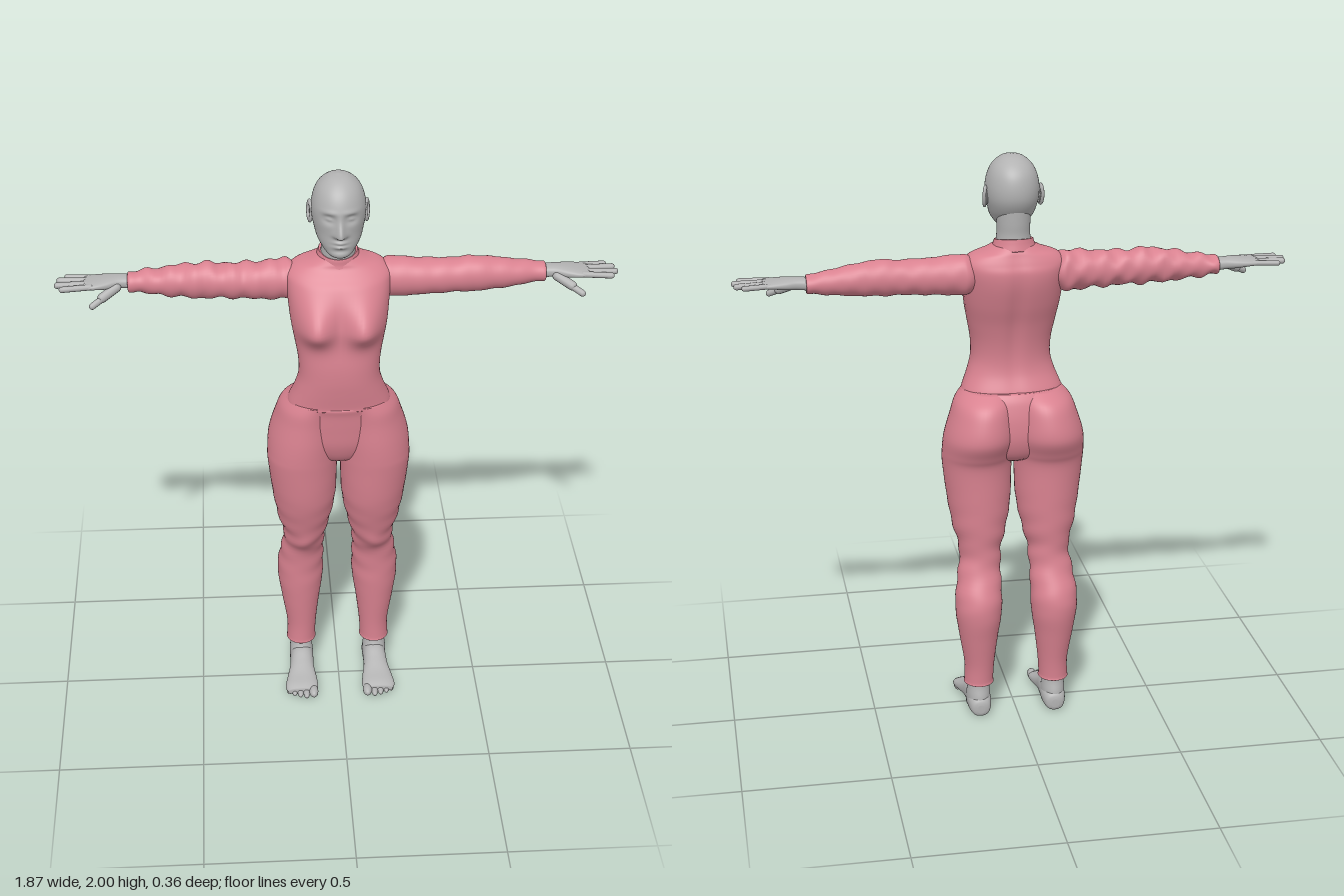
import * as THREE from 'three';

const fabric = new THREE.MeshStandardMaterial({ color: 0xd98290 });
fabric.name = 'rose fabric';
const skin = new THREE.MeshStandardMaterial({ color: 0xb2b2b2 });
skin.name = 'grey skin';

// Bell curve used for soft bumps and dents
const bell = (d, w) => Math.exp(-(d * d) / (w * w));

// Mapping from (along, across, depth) to x, y, z
const upright = (t, a, b) => [a, t, b];
const sideways = (t, a, b) => [t, b, a];
const forwards = (t, a, b) => [a, b, t];

function spline(rows, u) {
  const n = rows.length - 1, i = Math.min(Math.floor(u), n - 1), f = u - i;
  const at = k => rows[Math.max(0, Math.min(n, k))];
  return rows[i].map((_, c) => {
    const [p, q, r, s] = [at(i - 1)[c], at(i)[c], at(i + 1)[c], at(i + 2)[c]];
    return q + 0.5 * f * (r - p + f * (2 * p - 5 * q + 4 * r - s + f * (3 * (q - r) + s - p)));
  });
}

// Smooth closed skin through sections [along, centre, half width, depth high, depth low]
function loft(sections, { map = upright, side = 1, seg = 40, steps = 5, power = 2, bend } = {}) {
  const pos = [], index = [], rings = (sections.length - 1) * steps + 1;
  const add = (t, a, b) => {
    const p = new THREE.Vector3(...map(t, a, b));
    if (bend) bend(p);
    pos.push(p.x * side, p.y, p.z);
  };
  const round = v => Math.sign(v) * Math.abs(v) ** (2 / power);
  const ends = [];
  for (let i = 0; i < rings; i++) {
    const [t, c, r, hi, lo] = spline(sections, i / steps);
    if (i === 0 || i === rings - 1) ends.push([t, c, (hi + lo) / 2]);
    for (let j = 0; j < seg; j++) {
      const a = j / seg * Math.PI * 2;
      add(t, c + r * round(Math.cos(a)), (hi + lo) / 2 + (hi - lo) / 2 * round(Math.sin(a)));
    }
  }
  ends.forEach(e => add(...e));
  for (let j = 0; j < seg; j++) {
    const k = (j + 1) % seg, last = (rings - 1) * seg;
    for (let i = 0; i < rings - 1; i++) {
      const a = i * seg + j, b = i * seg + k;
      index.push(a, b, a + seg, b, b + seg, a + seg);
    }
    index.push(rings * seg, k, j, rings * seg + 1, last + j, last + k);
  }
  // Turn the faces outwards if the enclosed volume is negative
  const v = i => new THREE.Vector3().fromArray(pos, i * 3);
  let volume = 0;
  for (let i = 0; i < index.length; i += 3) volume += v(index[i]).dot(v(index[i + 1]).cross(v(index[i + 2])));
  if (volume < 0) index.reverse();
  const g = new THREE.BufferGeometry();
  g.setAttribute('position', new THREE.Float32BufferAttribute(pos, 3));
  g.setIndex(index);
  g.computeVertexNormals();
  return g;
}

function part(parent, name, geometry, material) {
  const m = new THREE.Mesh(geometry, material);
  m.name = name;
  parent.add(m);
  return m;
}

// Rounded rod between two points, for fingers
function rod(parent, name, from, to, radius) {
  const a = new THREE.Vector3(...from), b = new THREE.Vector3(...to), d = b.clone().sub(a);
  const m = part(parent, name, new THREE.CapsuleGeometry(radius, d.length() - radius, 6, 12), skin);
  m.position.copy(a).add(b).multiplyScalar(0.5);
  m.quaternion.setFromUnitVectors(new THREE.Vector3(0, 1, 0), d.normalize());
}

function shapeFace(p) {
  if (p.z < 0.03) return;
  const x = Math.abs(p.x), y = p.y;
  const ridge = y > 1.828 ? bell(y - 1.828, 0.04) : bell(y - 1.828, 0.009);
  p.z += 0.034 * ridge * bell(x, 0.011 + 0.006 * bell(y - 1.828, 0.02));   // nose
  p.z -= 0.014 * bell(x - 0.036, 0.02) * bell(y - 1.882, 0.015);           // eye sockets
  p.z += 0.009 * bell(x - 0.036, 0.012) * bell(y - 1.881, 0.007);          // eyeballs
  p.z += 0.004 * bell(x - 0.035, 0.025) * bell(y - 1.905, 0.008);          // brows
  p.z += 0.008 * bell(x, 0.02) * (bell(y - 1.802, 0.006) + bell(y - 1.787, 0.006)); // lips
  p.z -= 0.004 * bell(x, 0.03) * bell(y - 1.772, 0.008);                   // dip above chin
}

function buildHead(parent) {
  part(parent, 'head', loft([
    [2.0, 0, 0.004, 0.006, -0.002], [1.992, 0, 0.035, 0.046, -0.042], [1.97, 0, 0.063, 0.078, -0.077],
    [1.94, 0, 0.08, 0.1, -0.1], [1.9, 0, 0.089, 0.113, -0.11], [1.86, 0, 0.088, 0.112, -0.108],
    [1.825, 0, 0.081, 0.109, -0.092], [1.795, 0, 0.072, 0.109, -0.065], [1.77, 0, 0.056, 0.11, -0.025],
    [1.752, 0, 0.04, 0.108, 0.01], [1.742, 0, 0.022, 0.095, 0.03], [1.739, 0, 0.004, 0.07, 0.06]
  ], { seg: 96, steps: 10, power: 2.1, bend: shapeFace }), skin);
  part(parent, 'neck', loft([
    [1.84, 0, 0.055, 0.03, -0.09], [1.78, 0, 0.056, 0.036, -0.087], [1.74, 0, 0.056, 0.038, -0.084],
    [1.7, 0, 0.06, 0.035, -0.088], [1.67, 0, 0.07, 0.03, -0.09]
  ]), skin);
  for (const side of [1, -1]) {
    const ear = part(parent, side > 0 ? 'leftEar' : 'rightEar', new THREE.TorusGeometry(0.016, 0.006, 10, 24), skin);
    ear.scale.set(0.95, 1.8, 1);
    ear.position.set(side * 0.093, 1.864, -0.014);
    ear.rotation.set(-0.2, side * 1.25, 0);
    const bowl = part(parent, 'earBowl', new THREE.SphereGeometry(0.018, 16, 12), skin);
    bowl.scale.set(0.35, 1.6, 0.9);
    bowl.position.set(side * 0.088, 1.862, -0.012);
  }
}

function buildTop(parent) {
  part(parent, 'torso', loft([
    [1.185, 0, 0.174, 0.128, -0.092], [1.2, 0, 0.17, 0.128, -0.088], [1.25, 0, 0.15, 0.135, -0.068],
    [1.3, 0, 0.137, 0.14, -0.062], [1.36, 0, 0.138, 0.14, -0.068], [1.43, 0, 0.15, 0.132, -0.085],
    [1.5, 0, 0.162, 0.122, -0.11], [1.57, 0, 0.17, 0.115, -0.13], [1.62, 0, 0.175, 0.095, -0.135],
    [1.65, 0, 0.173, 0.07, -0.126], [1.675, 0, 0.145, 0.048, -0.116], [1.69, 0, 0.1, 0.042, -0.11],
    [1.705, 0, 0.07, 0.035, -0.1]
  ], {
    seg: 80, steps: 6, power: 2.3, bend: p => {
      const x = Math.abs(p.x);
      if (p.z > 0) p.z += 0.066 * bell(x - 0.083, 0.062) * bell(p.y - 1.495, p.y < 1.495 ? 0.052 : 0.075);
      else p.z += 0.012 * bell(x, 0.025) * bell(p.y - 1.45, 0.2);          // spine groove
    }
  }), fabric);
  // Collar, higher at the nape
  part(parent, 'collar', loft([
    [1.68, 0, 0.082, 0.05, -0.108], [1.7, 0, 0.072, 0.044, -0.103], [1.715, 0, 0.067, 0.043, -0.1],
    [1.722, 0, 0.064, 0.041, -0.098], [1.72, 0, 0.058, 0.036, -0.09]
  ], { bend: p => { p.y -= 0.012 * (p.z + 0.03) / 0.07; } }), fabric);
}

function buildArm(parent, side) {
  const ruffle = side < 0 ? 0.004 : 0.0012;
  part(parent, 'sleeve', loft([
    [0.14, -0.042, 0.05, 1.664, 1.55], [0.16, -0.042, 0.062, 1.674, 1.542], [0.19, -0.041, 0.063, 1.676, 1.54],
    [0.3, -0.039, 0.06, 1.668, 1.546], [0.39, -0.04, 0.056, 1.667, 1.55], [0.46, -0.041, 0.055, 1.671, 1.55],
    [0.58, -0.048, 0.048, 1.654, 1.56], [0.66, -0.056, 0.04, 1.64, 1.571], [0.69, -0.057, 0.039, 1.636, 1.573],
    [0.695, -0.057, 0.034, 1.63, 1.58]
  ], {
    map: sideways, side, steps: 8, bend: p => {
      const fold = ruffle * (Math.sin(p.x * 95 + p.z * 30) + 0.7 * Math.sin(p.x * 57 - p.z * 45));
      p.y += fold * Math.sign(p.y - 1.61) * Math.min(1, Math.abs(p.y - 1.61) / 0.03);
      p.z += 0.6 * fold * Math.sin(p.y * 40);
    }
  }), fabric);
  const hand = new THREE.Group();
  hand.name = 'hand';
  parent.add(hand);
  part(hand, 'palm', loft([
    [0.67, -0.057, 0.03, 1.626, 1.584], [0.72, -0.055, 0.031, 1.629, 1.589], [0.76, -0.05, 0.042, 1.628, 1.591],
    [0.8, -0.046, 0.049, 1.624, 1.596], [0.83, -0.045, 0.047, 1.62, 1.599], [0.84, -0.045, 0.04, 1.615, 1.604]
  ], { map: sideways, side, power: 2.4 }), skin);
  [[-0.083, -0.092, 0.905, 0.009], [-0.058, -0.066, 0.93, 0.0105], [-0.032, -0.03, 0.936, 0.0105], [-0.008, 0.003, 0.918, 0.01]]
    .forEach(([z0, z1, tip, r]) => rod(hand, 'finger', [side * 0.81, 1.611, z0], [side * (tip - r / 2), 1.609, z1], r));
  rod(hand, 'thumbBase', [side * 0.725, 1.602, -0.03], [side * 0.785, 1.572, 0.006], 0.016);
  rod(hand, 'thumbTip', [side * 0.77, 1.578, 0.0], [side * 0.815, 1.555, 0.028], 0.011);
}

function buildLeg(parent, side) {
  part(parent, 'trouserLeg', loft([
    [1.195, 0.083, 0.085, 0.12, -0.095], [1.16, 0.1, 0.1, 0.122, -0.146], [1.11, 0.109, 0.11, 0.122, -0.17],
    [1.04, 0.118, 0.122, 0.125, -0.18], [0.98, 0.124, 0.122, 0.124, -0.152], [0.93, 0.125, 0.12, 0.12, -0.132],
    [0.8, 0.12, 0.11, 0.105, -0.126], [0.7, 0.12, 0.093, 0.078, -0.122], [0.62, 0.12, 0.073, 0.05, -0.116],
    [0.55, 0.126, 0.074, 0.015, -0.127], [0.46, 0.133, 0.081, 0.003, -0.168], [0.39, 0.134, 0.08, 0, -0.174],
    [0.3, 0.134, 0.067, -0.008, -0.158], [0.2, 0.132, 0.053, -0.018, -0.14], [0.135, 0.134, 0.051, -0.02, -0.134],
    [0.122, 0.134, 0.053, -0.018, -0.136], [0.126, 0.134, 0.044, -0.03, -0.125]
  ], {
    side, seg: 48, steps: 6, bend: p => {
      if (p.z > -0.03) p.z += 0.012 * bell(p.x - 0.122, 0.04) * bell(p.y - 0.6, 0.035);  // kneecap
      p.x += 0.003 * Math.sin(p.y * 75 + p.z * 25) * bell(p.y - 0.6, 0.16);              // knee folds
    }
  }), fabric);
  const foot = new THREE.Group();
  foot.name = 'foot';
  parent.add(foot);
  part(foot, 'ankle', loft([
    [0.16, 0.135, 0.038, -0.035, -0.115], [0.11, 0.135, 0.038, -0.032, -0.116], [0.07, 0.135, 0.042, -0.01, -0.126],
    [0.03, 0.135, 0.042, 0, -0.13]
  ]), skin).scale.x = 1;
  part(foot, 'instep', loft([
    [-0.134, 0.134, 0.012, 0.045, 0.015], [-0.125, 0.134, 0.032, 0.066, 0.002], [-0.09, 0.134, 0.042, 0.085, 0],
    [-0.03, 0.134, 0.042, 0.098, 0], [0.02, 0.136, 0.044, 0.078, 0.003], [0.07, 0.138, 0.054, 0.055, 0.001],
    [0.11, 0.14, 0.059, 0.042, 0], [0.135, 0.14, 0.05, 0.03, 0.006]
  ], { map: forwards, power: 2.3 }), skin);
  // Toes, big toe on the inner side
  for (let i = 0; i < 5; i++) {
    const toe = part(foot, 'toe', new THREE.SphereGeometry(1, 16, 12), skin);
    const r = i === 0 ? 0.0165 : 0.0125 - i * 0.0005;
    toe.scale.set(r, r * 1.05, 0.03);
    toe.position.set([0.098, 0.124, 0.146, 0.167, 0.186][i], r * 1.05, [0.134, 0.135, 0.128, 0.118, 0.106][i]);
  }
  foot.scale.x = side;
}

export function createModel() {
  const model = new THREE.Group();
  model.name = 'figure';
  buildHead(model);
  buildTop(model);
  // Hips fill the middle between the two trouser legs
  part(model, 'hips', loft([
    [1.196, 0, 0.168, 0.122, -0.1], [1.188, 0, 0.176, 0.13, -0.108], [1.16, 0, 0.19, 0.124, -0.122],
    [1.1, 0, 0.2, 0.118, -0.135], [1.03, 0, 0.19, 0.108, -0.135], [0.97, 0, 0.13, 0.08, -0.11],
    [0.94, 0, 0.05, 0.03, -0.06]
  ], { seg: 64 }), fabric);
  for (const side of [1, -1]) {
    const arm = new THREE.Group(), leg = new THREE.Group();
    arm.name = side > 0 ? 'leftArm' : 'rightArm';
    leg.name = side > 0 ? 'leftLeg' : 'rightLeg';
    model.add(arm, leg);
    buildArm(arm, side);
    buildLeg(leg, side);
  }
  return model;
}
